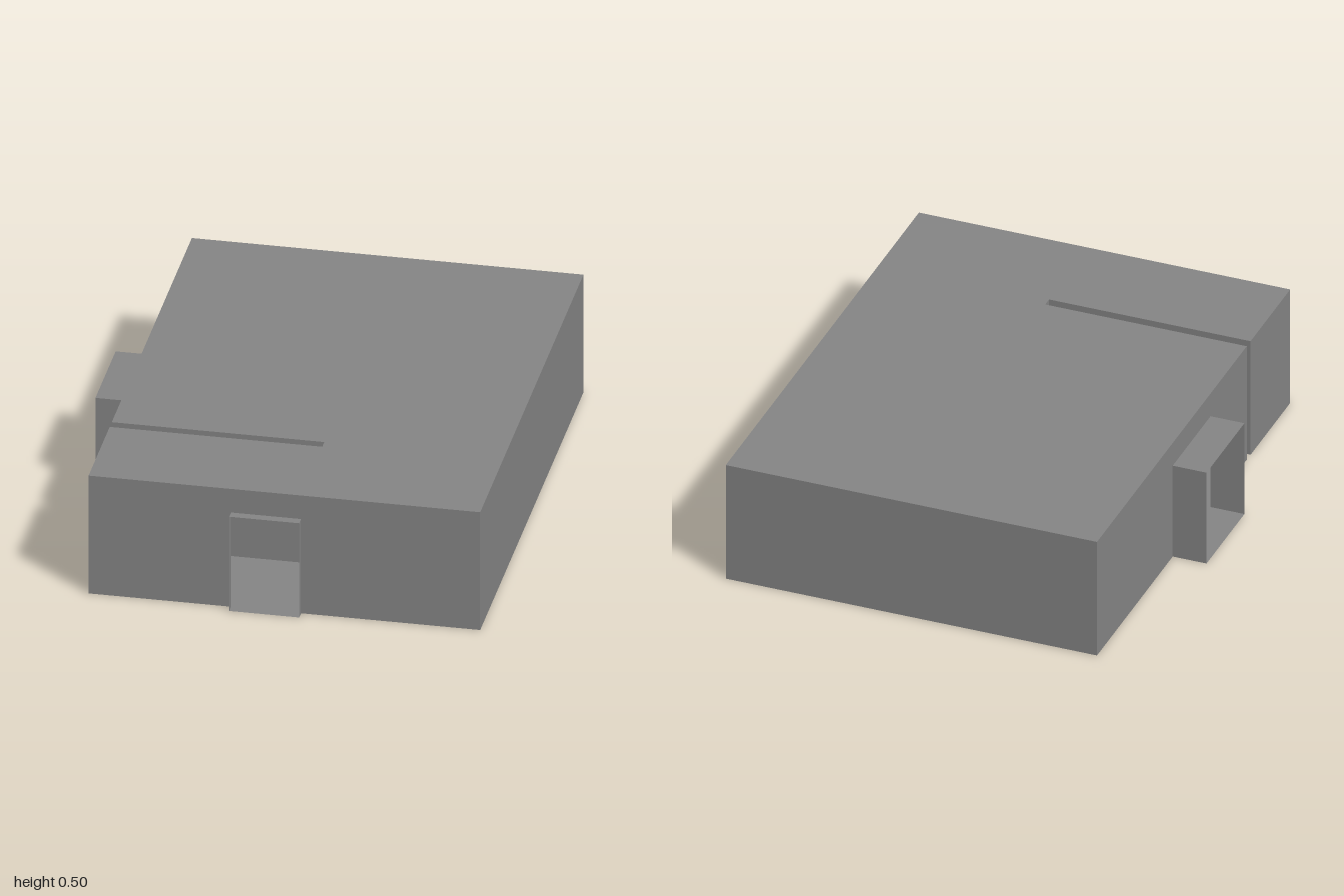
import * as THREE from 'three';

const HEIGHT = 0.5, DOOR_HEIGHT = 0.4;

// Plan outline [x, z], anticlockwise seen from above; the narrow slot divides the rooms
const OUTLINE = [
  [-0.683, 0.965], [0.82, 0.965], [0.82, -1], [-0.683, -1],
  [-0.683, 0.523], [0.133, 0.523], [0.133, 0.562], [-0.683, 0.562],
];

// Doorways keyed by the outline edge they sit on: distances along it and porch depth
const DOORS = {
  0: { name: 'frontPorch', from: 0.547, to: 0.816, depth: 0.035 },
  3: { name: 'sidePorch', from: 0.77, to: 1.155, depth: 0.137 },
};

export function createModel() {
  const model = new THREE.Group();
  const material = new THREE.MeshStandardMaterial({ color: 0x868686, side: THREE.DoubleSide });

  const addMesh = (parent, name, geometry) => {
    const mesh = new THREE.Mesh(geometry, material);
    mesh.name = name;
    parent.add(mesh);
    return mesh;
  };

  // Floor and roof sheets
  const planShape = (sign) => new THREE.Shape(OUTLINE.map(([x, z]) => new THREE.Vector2(x, sign * z)));
  addMesh(model, 'floor', new THREE.ShapeGeometry(planShape(1)).rotateX(Math.PI / 2));
  addMesh(model, 'roof', new THREE.ShapeGeometry(planShape(-1)).rotateX(-Math.PI / 2))
    .position.y = HEIGHT;

  // One thin wall per outline edge, notched where there is a doorway
  OUTLINE.forEach(([x, z], i) => {
    const [nx, nz] = OUTLINE[(i + 1) % OUTLINE.length];
    const length = Math.hypot(nx - x, nz - z);
    const door = DOORS[i];

    const side = new THREE.Group();
    side.name = `wallSide${i + 1}`;
    side.position.set(x, 0, z);
    side.rotation.y = Math.atan2(z - nz, nx - x);
    model.add(side);

    const shape = new THREE.Shape();
    shape.moveTo(0, 0);
    if (door) {
      shape.lineTo(door.from, 0);
      shape.lineTo(door.from, DOOR_HEIGHT);
      shape.lineTo(door.to, DOOR_HEIGHT);
      shape.lineTo(door.to, 0);
    }
    shape.lineTo(length, 0);
    shape.lineTo(length, HEIGHT);
    shape.lineTo(0, HEIGHT);
    shape.closePath();
    addMesh(side, 'wall', new THREE.ShapeGeometry(shape));

    // Porch: a box sleeve without its two end faces, open to the room and outside
    if (door) {
      const sleeve = new THREE.BoxGeometry(door.to - door.from, DOOR_HEIGHT, door.depth);
      sleeve.setIndex(Array.from(sleeve.index.array.slice(0, 24)));
      sleeve.clearGroups();
      addMesh(side, door.name, sleeve)
        .position.set((door.from + door.to) / 2, DOOR_HEIGHT / 2, door.depth / 2);
    }
  });

  return model;
}
